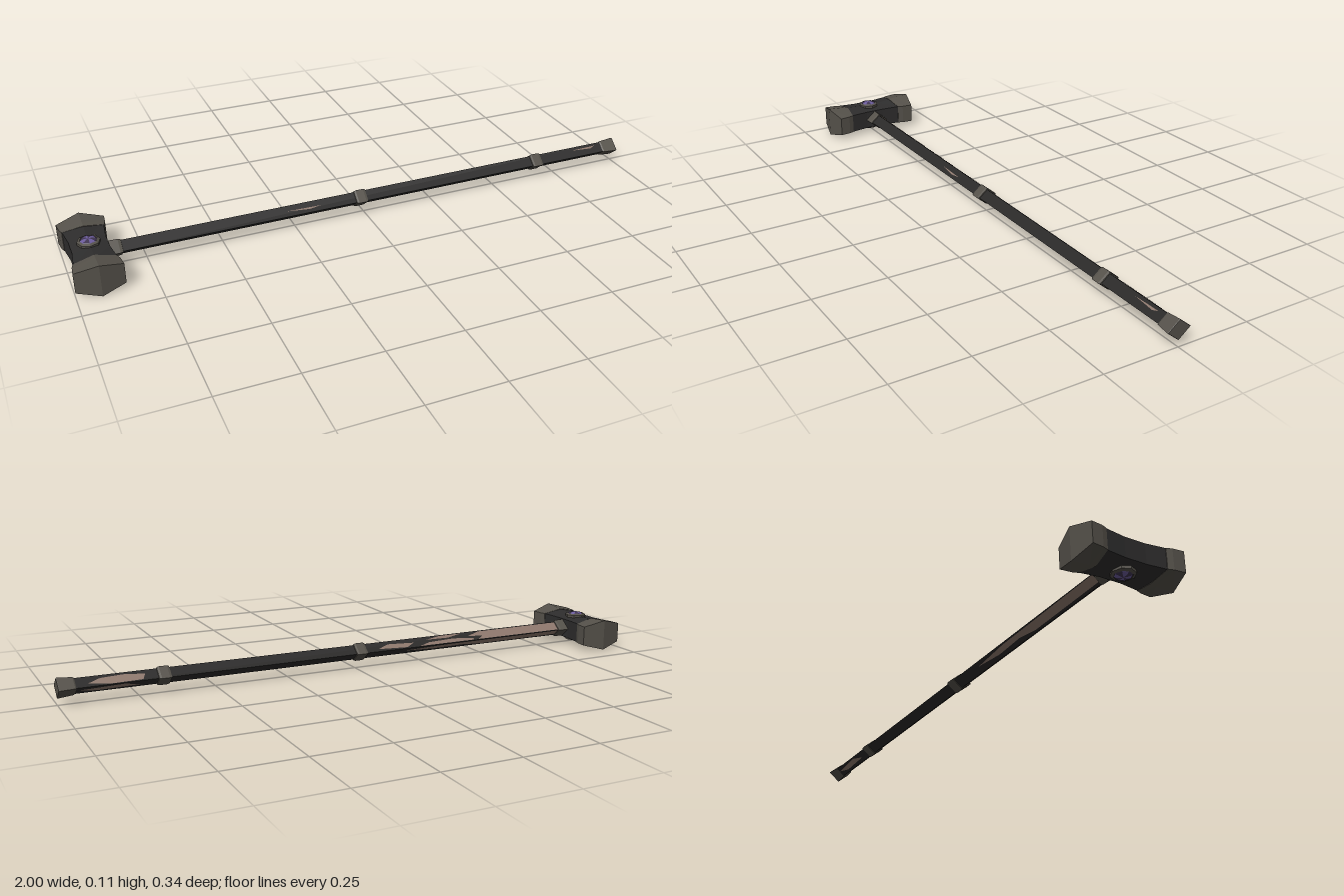
import * as THREE from 'three';

const AXIS_Y = 0.057; // height of the shaft axis
const HEAD_X = -0.923;

function material(name, color, side = THREE.FrontSide) {
  const m = new THREE.MeshStandardMaterial({ color, side });
  m.name = name;
  return m;
}

function flat(geometry) {
  const g = geometry.index ? geometry.toNonIndexed() : geometry;
  g.computeVertexNormals();
  return g;
}

function addMesh(parent, name, geometry, mat) {
  const mesh = new THREE.Mesh(geometry, mat);
  mesh.name = name;
  parent.add(mesh);
  return mesh;
}

// Diamond-section part running along x; profile holds [x, half depth]
function diamondBar(profile) {
  const g = new THREE.LatheGeometry(profile.map(([x, r]) => new THREE.Vector2(r, x)), 4);
  g.rotateZ(-Math.PI / 2);
  g.scale(1, 0.83, 1);
  g.translate(0, AXIS_Y, 0);
  return flat(g);
}

// Hexagonal loft along z; each section is [side z, ridge z, half width, side half height, ridge half height]
function hexLoft(sections, capEnd) {
  const rings = sections.map(([zs, zr, w, s, h]) => [
    [w, -s, zs], [w, s, zs], [0, h, zr], [-w, s, zs], [-w, -s, zs], [0, -h, zr],
  ]);
  const pos = [];
  const quad = (a, b, c, d) => pos.push(...a, ...b, ...c, ...a, ...c, ...d);
  for (let i = 0; i < rings.length - 1; i++) {
    for (let k = 0; k < 6; k++) {
      const n = (k + 1) % 6;
      quad(rings[i][k], rings[i][n], rings[i + 1][n], rings[i + 1][k]);
    }
  }
  if (capEnd) {
    const r = rings[rings.length - 1];
    quad(r[5], r[0], r[1], r[2]);
    quad(r[2], r[3], r[4], r[5]);
  }
  const g = new THREE.BufferGeometry();
  g.setAttribute('position', new THREE.Float32BufferAttribute(pos, 3));
  return flat(g);
}

// Thin worn patch on a shaft face: points are [x, t], t = 0 at the ridge, 1 at the side edge
function wornPatch(points, up, toward) {
  const shape = new THREE.Shape(points.map(([x, t]) => new THREE.Vector2(x, t)));
  const g = new THREE.ShapeGeometry(shape);
  const p = g.attributes.position;
  for (let i = 0; i < p.count; i++) {
    const t = p.getY(i);
    p.setXYZ(i, p.getX(i), AXIS_Y + up * (0.0249 * (1 - t) + 0.0008), toward * (0.03 * t + 0.0007));
  }
  // Keep the winding facing away from the shaft
  if (up * toward > 0) {
    const idx = g.index.array;
    for (let i = 0; i < idx.length; i += 3) [idx[i], idx[i + 1]] = [idx[i + 1], idx[i]];
  }
  return flat(g);
}

export function createModel() {
  const root = new THREE.Group();
  root.name = 'warHammer';
  const iron = material('dark iron', 0x2e2d2d);
  const steel = material('worn steel', 0x55514a);
  const wrap = material('black wrap', 0x2a2928);
  const wood = material('bare wood', 0x8d776c);
  const gemLight = material('violet gem', 0x6c5c9c);
  const gemDark = material('deep violet gem', 0x403552);

  // Shaft with bands, neck collar and flared pommel
  addMesh(root, 'shaft', diamondBar([[-0.88, 0.03], [0.97, 0.03]]), wrap);
  for (const x of [-0.015, 0.67]) {
    addMesh(root, 'shaftBand', diamondBar([
      [x - 0.021, 0.029], [x - 0.02, 0.034], [x - 0.013, 0.037],
      [x + 0.013, 0.037], [x + 0.02, 0.034], [x + 0.021, 0.029],
    ]), steel);
  }
  addMesh(root, 'neckCollar', diamondBar([
    [-0.875, 0.038], [-0.835, 0.037], [-0.826, 0.034], [-0.825, 0.029],
  ]), steel);
  addMesh(root, 'pommel', diamondBar([
    [0.945, 0.029], [0.95, 0.034], [0.998, 0.04], [1, 0.0385], [1, 0],
  ]), steel);

  // Bare wood showing through the wrap
  const topBack = [
    [[-0.824, 0.1], [-0.49, 0.1], [-0.44, 0.5], [-0.5, 0.6], [-0.48, 0.95], [-0.824, 0.95]],
    [[-0.46, 0.75], [-0.38, 0.55], [-0.28, 0.65], [-0.24, 0.95], [-0.46, 0.95]],
    [[-0.42, 0.1], [-0.33, 0.1], [-0.27, 0.35], [-0.36, 0.4]],
    [[-0.22, 0.5], [-0.12, 0.35], [-0.08, 0.75], [-0.19, 0.9]],
    [[0.73, 0.4], [0.79, 0.2], [0.87, 0.3], [0.91, 0.7], [0.84, 0.95], [0.74, 0.9]],
  ];
  const bottomBack = [
    [[-0.824, 0.25], [-0.5, 0.2], [-0.42, 0.45], [-0.3, 0.35], [-0.18, 0.6], [-0.34, 0.85], [-0.824, 0.95]],
    [[0.74, 0.4], [0.88, 0.25], [0.94, 0.6], [0.8, 0.85]],
  ];
  const bottomFront = [
    [[-0.2, 0.3], [-0.04, 0.2], [-0.04, 0.45], [-0.16, 0.5]],
    [[0.8, 0.3], [0.92, 0.25], [0.9, 0.5]],
  ];
  const topFront = [
    [[-0.28, 0.5], [-0.16, 0.55], [-0.2, 0.7]],
    [[0.82, 0.3], [0.92, 0.25], [0.9, 0.45]],
  ];
  for (const [list, up, toward] of [
    [topBack, 1, -1], [bottomBack, -1, -1], [bottomFront, -1, 1], [topFront, 1, 1],
  ]) {
    for (const points of list) addMesh(root, 'wornPatch', wornPatch(points, up, toward), wood);
  }

  // Hammer head: waisted body and two striking caps
  const head = new THREE.Group();
  head.name = 'hammerHead';
  head.position.set(HEAD_X, AXIS_Y, 0);
  root.add(head);
  addMesh(head, 'headBody', hexLoft([
    [-0.11, -0.11, 0.067, 0.034, 0.047], [-0.035, -0.035, 0.058, 0.033, 0.041],
    [0.035, 0.035, 0.058, 0.033, 0.041], [0.11, 0.11, 0.067, 0.034, 0.047],
  ]), iron);
  const cap = hexLoft([
    [0.098, 0.092, 0.06, 0.03, 0.04], [0.1, 0.092, 0.067, 0.034, 0.0475],
    [0.118, 0.112, 0.073, 0.034, 0.0495], [0.155, 0.172, 0.077, 0.034, 0.054],
  ], true);
  for (const turn of [0, Math.PI]) {
    addMesh(head, 'strikingCap', cap, steel).rotation.y = turn;
  }

  // Gem settings above and below
  const v = (r, y) => new THREE.Vector2(r, y);
  const setting = flat(new THREE.LatheGeometry([v(0.036, 0.034), v(0.037, 0.046), v(0.028, 0.05), v(0.026, 0.047)], 8));
  for (const turn of [0, Math.PI]) {
    const mount = new THREE.Group();
    mount.name = 'gemMount';
    mount.rotation.x = turn;
    head.add(mount);
    addMesh(mount, 'gemSetting', setting, steel);
    for (let i = 0; i < 8; i++) {
      const facet = new THREE.LatheGeometry([v(0.028, 0.047), v(0.024, 0.051), v(0.012, 0.054), v(0, 0.0545)],
        1, i * Math.PI / 4, Math.PI / 4);
      addMesh(mount, 'gemFacet', flat(facet), i % 2 ? gemDark : gemLight);
    }
  }
  return root;
}
